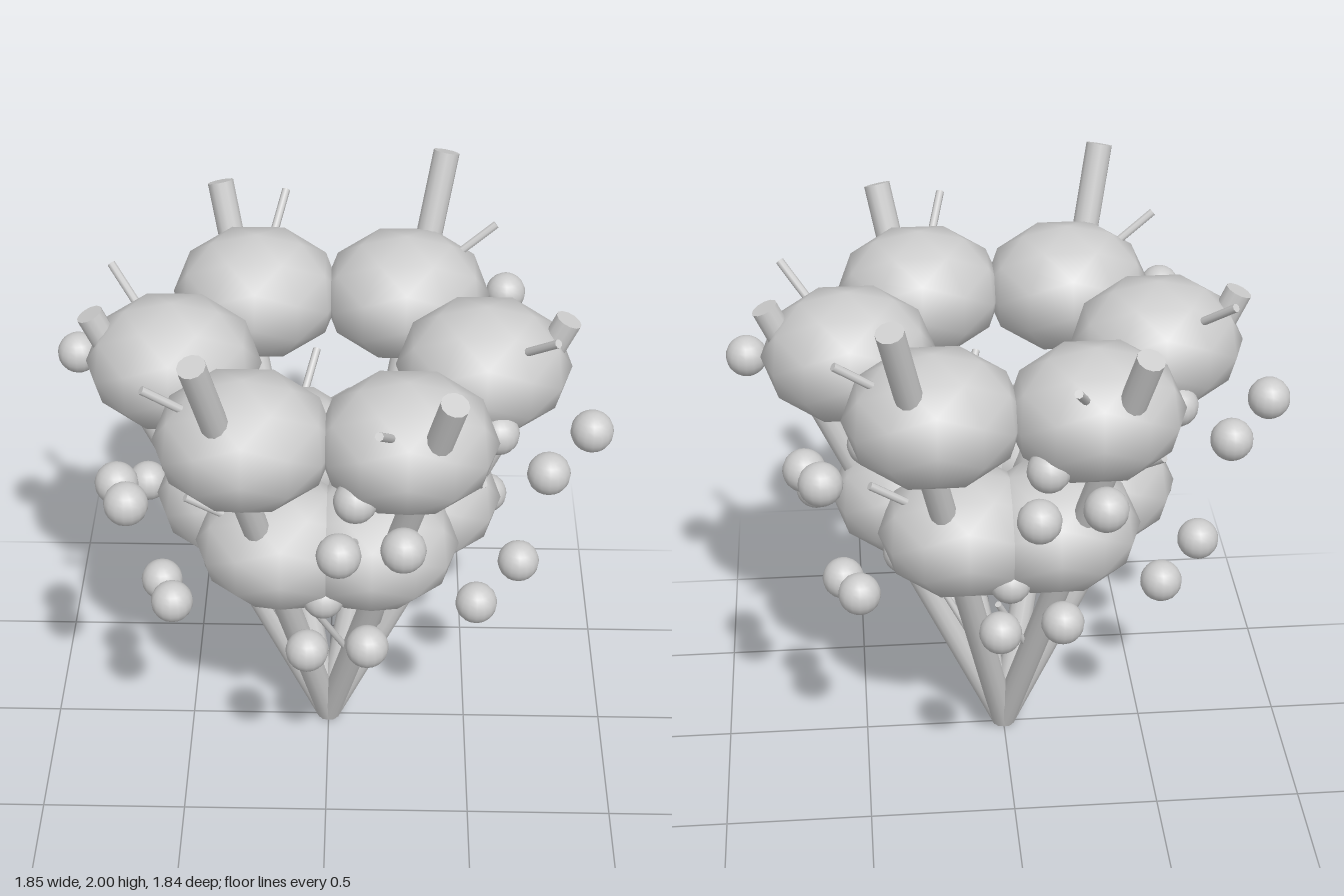
import * as THREE from 'three';

export function createModel() {
  const model = new THREE.Group();
  model.name = 'bush';
  const grey = new THREE.MeshStandardMaterial({ color: 0xcccccc });
  grey.name = 'lightGrey';

  const crownGeo = new THREE.IcosahedronGeometry(1, 1);
  const berryGeo = new THREE.SphereGeometry(0.07, 16, 12);
  const up = new THREE.Vector3(0, 1, 0);

  function add(name, geo, pos) {
    const mesh = new THREE.Mesh(geo, grey);
    mesh.name = name;
    mesh.position.copy(pos);
    model.add(mesh);
    return mesh;
  }

  // Straight rod between two points
  function rod(name, a, b, radius, sides) {
    const dir = b.clone().sub(a);
    const geo = new THREE.CylinderGeometry(radius, radius, dir.length(), sides);
    const mesh = add(name, geo, a.clone().add(b).multiplyScalar(0.5));
    mesh.quaternion.setFromUnitVectors(up, dir.normalize());
  }

  const trunkTops = [1.735, 1.858, 1.982];
  const levels = [
    { r: 0.51, y: 1.56, twig: [0.215, 0.23, 0.228] },
    { r: 0.30, y: 1.02, twig: [0.215, 0.225, 0.235] },
  ];
  const berries = [[0.346, -0.112, 0.214], [0.202, -0.179, 0.357], [0.044, -0.13, 0.21]];

  for (let i = 0; i < 6; i++) {
    // Everything repeats around the vertical axis in six steps
    const at = (x, y, z) => new THREE.Vector3(x, y, z).applyAxisAngle(up, -i * Math.PI / 3);

    // Leaning trunk, three different heights
    rod('trunk', at(0, 0.018, 0), at(0.777, trunkTops[i % 3], 0), 0.045, 12);

    for (const { r, y, twig } of levels) {
      // Leaf clump, stretched along x wherever it stands
      add('leafClump', crownGeo, at(r, y - 0.004, 0)).scale.set(0.29, 0.225, 0.256);
      // Twig poking out of the clump
      rod('twig', at(r, y, 0), at(r + twig[0], y + twig[1], twig[2]), 0.014, 8);
      // Berries hanging below
      for (const [dx, dy, dz] of berries) add('berry', berryGeo, at(r + dx, y + dy, dz));
    }

    // Bare twig growing from low on the trunk
    rod('lowerTwig', at(0.17, 0.42, 0), at(0.2, 0.7, 0.16), 0.012, 8);
  }
  return model;
}
